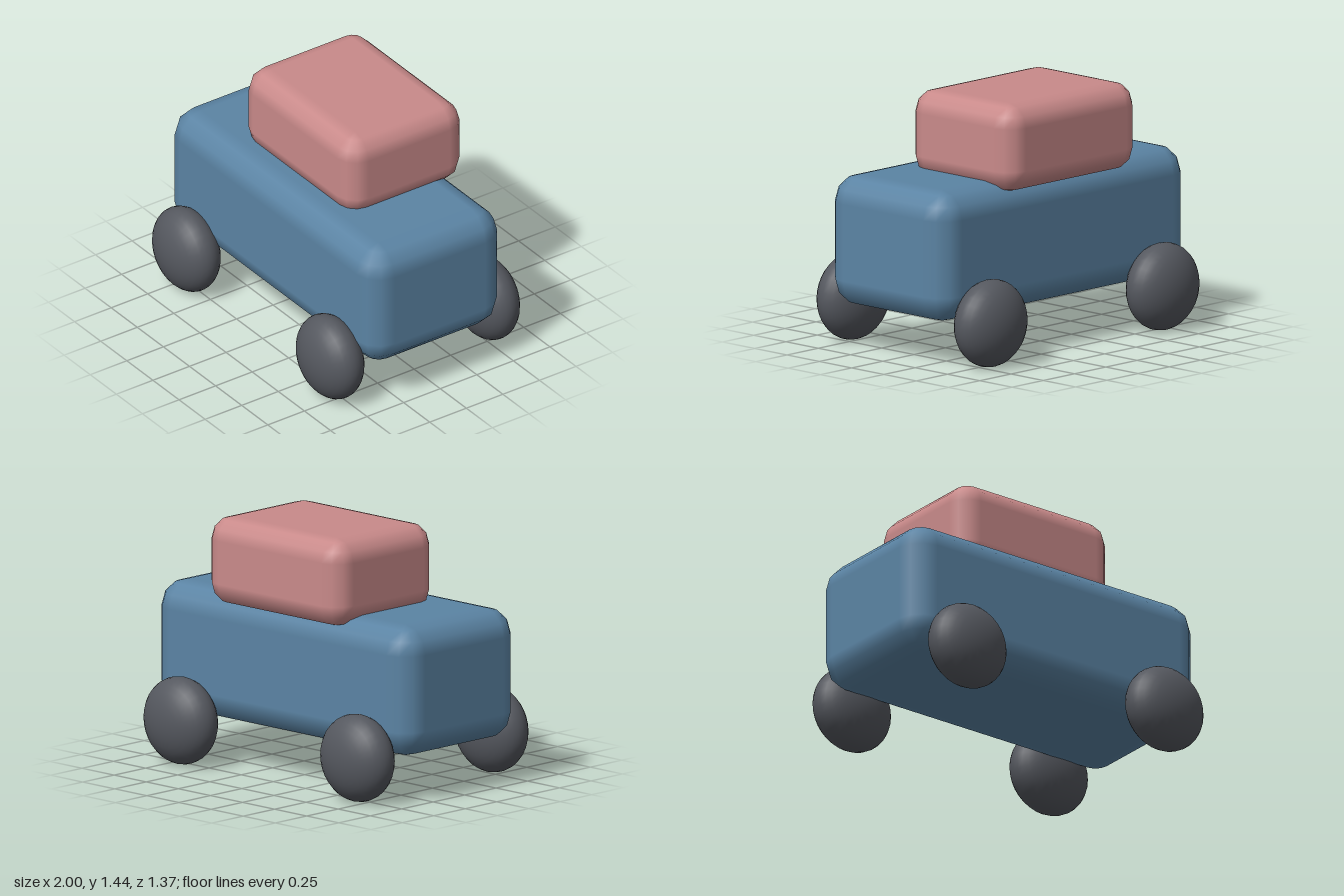
import * as THREE from 'three';

// Box with three-step rounded edges: a coarse sphere grid whose eight
// octants are pushed apart, with the top and bottom closed to a centre point.
function bevelledBox(w, h, d, r) {
  const geo = new THREE.PlaneGeometry(1, 1, 16, 9);
  const pos = geo.attributes.position, nor = geo.attributes.normal;
  const step = Math.PI / 6;
  const n = new THREE.Vector3();
  for (let j = 0; j <= 9; j++) {
    for (let i = 0; i <= 16; i++) {
      const id = j * 17 + i;
      if (j === 0 || j === 9) {
        const s = j === 0 ? 1 : -1;
        pos.setXYZ(id, 0, s * h / 2, 0);
        nor.setXYZ(id, 0, s, 0);
        continue;
      }
      const q = Math.floor(i / 4) % 4;
      const theta = q * Math.PI / 2 + (i % 4) * step;
      const k = j - 1, top = k < 4;
      const phi = (top ? k : k - 1) * step;
      n.set(Math.sin(phi) * Math.sin(theta), Math.cos(phi), Math.sin(phi) * Math.cos(theta));
      const sx = q < 2 ? 1 : -1, sy = top ? 1 : -1, sz = q === 0 || q === 3 ? 1 : -1;
      pos.setXYZ(id,
        sx * (w / 2 - r) + n.x * r,
        sy * (h / 2 - r) + n.y * r,
        sz * (d / 2 - r) + n.z * r);
      nor.setXYZ(id, n.x, n.y, n.z);
    }
  }
  return geo;
}

export function createModel() {
  const mat = (name, color) => {
    const m = new THREE.MeshStandardMaterial({ color });
    m.name = name;
    return m;
  };
  const blue = mat('body blue', 0x5b84a4);
  const pink = mat('cabin pink', 0xc98a8a);
  const grey = mat('wheel grey', 0x55585f);

  const model = new THREE.Group();
  model.name = 'toyCar';
  const add = (name, geo, material, x, y, z) => {
    const mesh = new THREE.Mesh(geo, material);
    mesh.name = name;
    mesh.position.set(x, y, z);
    model.add(mesh);
  };

  // Main body and the cabin set towards the back
  add('body', bevelledBox(2, 0.745, 0.93, 0.155), blue, 0, 0.628, 0);
  add('cabin', bevelledBox(1.06, 0.5, 0.81, 0.128), pink, 0, 1.19, -0.125);

  // Four flattened ball wheels
  const wheel = new THREE.SphereGeometry(1, 32, 16);
  wheel.rotateX(Math.PI / 2).scale(0.248, 0.248, 0.155);
  for (const [side, x] of [['left', 0.688], ['right', -0.688]]) {
    for (const [end, z] of [['Front', 0.53], ['Back', -0.533]]) {
      add(side + end + 'Wheel', wheel, grey, x, 0.25, z);
    }
  }
  return model;
}
